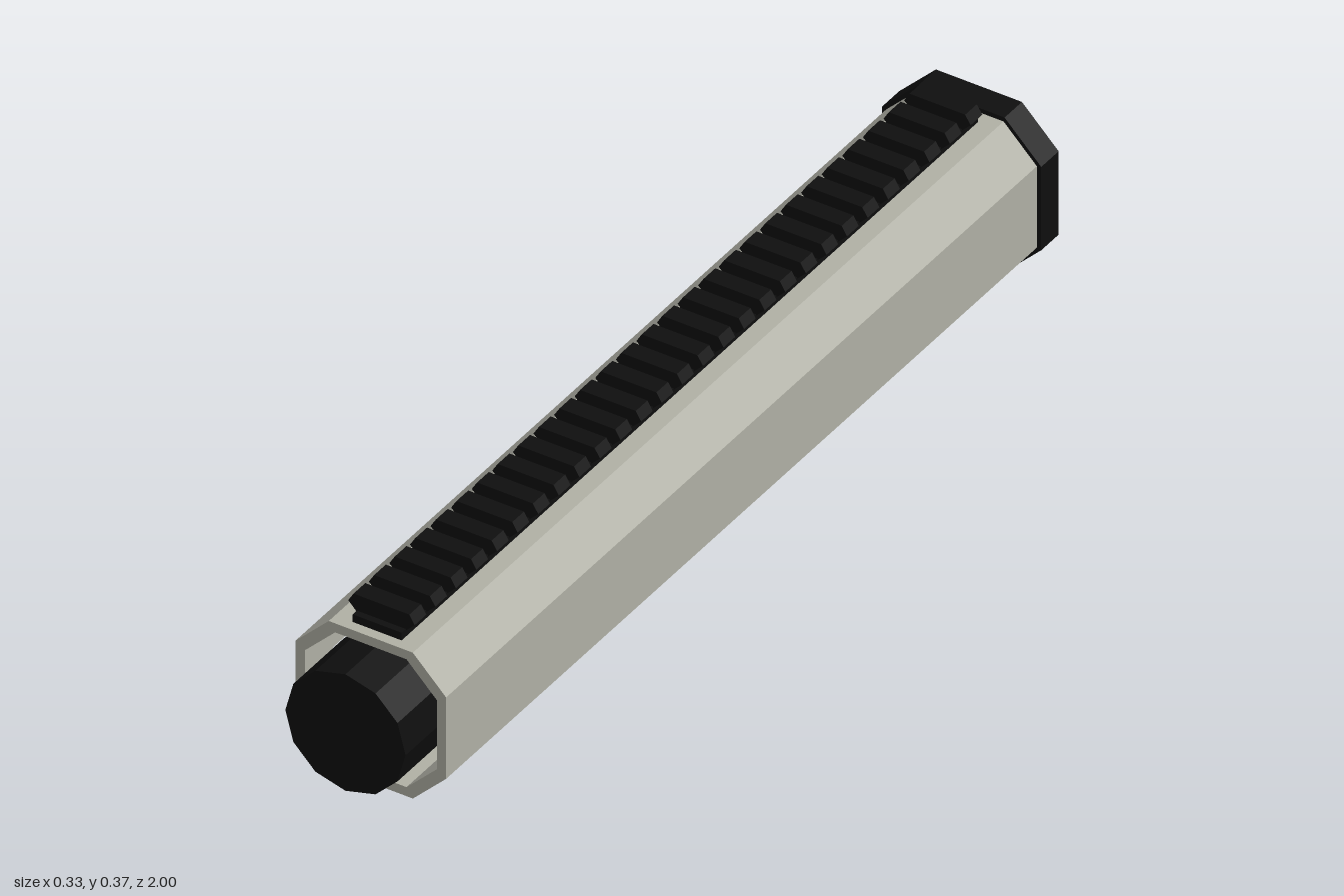
import * as THREE from 'three';

const CY = 0.165;                       // height of the tube axis
const SLOTS = [-2, -1, 0, 1, 2].map(k => -0.0075 + 0.368 * k);

// Flat plate facing +y, its length along z, with optional rows of slots
function plate(width, z0, z1, depth, slotLength, slotWidth = 0.052) {
  const w = width / 2;
  const shape = new THREE.Shape([[-w, -z1], [w, -z1], [w, -z0], [-w, -z0]].map(p => new THREE.Vector2(...p)));
  if (slotLength) {
    const a = slotWidth / 2, l = slotLength / 2;
    for (const z of SLOTS) {
      shape.holes.push(new THREE.Path(
        [[-a, -z - l], [-a, -z + l], [a, -z + l], [a, -z - l]].map(p => new THREE.Vector2(...p))));
    }
  }
  return new THREE.ExtrudeGeometry(shape, { depth, bevelEnabled: false }).rotateX(-Math.PI / 2);
}

// Octagon with half width r and corners at +-c
function octagon(r, c) {
  return [[c, r], [-c, r], [-r, c], [-r, -c], [-c, -r], [c, -r], [r, -c], [r, c]]
    .map(p => new THREE.Vector2(...p));
}

function octagonRing(outer, inner, depth) {
  const shape = new THREE.Shape(octagon(...outer));
  shape.holes.push(new THREE.Path(octagon(...inner)));
  return new THREE.ExtrudeGeometry(shape, { depth, bevelEnabled: false });
}

export function createModel() {
  const model = new THREE.Group();
  const grey = new THREE.MeshStandardMaterial({ color: 0xb0b0a5 });
  grey.name = 'warmGrey';
  const black = new THREE.MeshStandardMaterial({ color: 0x0e0e0e });
  black.name = 'black';

  function add(name, geometry, material, x = 0, y = 0, z = 0, parent = model) {
    const mesh = new THREE.Mesh(geometry, material);
    mesh.name = name;
    mesh.position.set(x, y, z);
    parent.add(mesh);
    return mesh;
  }

  // Octagonal tube: eight mitred wall panels, slotted on top, bottom and one side
  const R = 0.154, C = 0.086, r = 0.135, c = 0.073;
  const tube = new THREE.Group();
  tube.name = 'tube';
  tube.position.y = CY;
  model.add(tube);
  for (let i = 0; i < 8; i++) {
    const bevel = i % 2 === 1;
    const outerW = bevel ? Math.SQRT2 * (R - C) : 2 * C;
    const innerW = bevel ? Math.SQRT2 * (r - c) : 2 * c;
    const outerD = bevel ? (R + C) / Math.SQRT2 : R;
    const innerD = bevel ? (r + c) / Math.SQRT2 : r;
    const slotted = i === 0 || i === 2 || i === 4;
    const g = plate(outerW, -0.998, 0.92, outerD - innerD, slotted ? 0.205 : 0);
    const p = g.attributes.position;
    for (let v = 0; v < p.count; v++) {
      // pull the inner edges in so neighbouring panels meet at a mitre
      if (p.getY(v) < 1e-4 && Math.abs(p.getX(v)) > outerW / 2 - 1e-4) {
        p.setX(v, Math.sign(p.getX(v)) * innerW / 2);
      }
    }
    g.translate(0, innerD, 0).rotateZ(i * Math.PI / 4);
    g.computeVertexNormals();
    add('wallPanel', g, grey, 0, 0, 0, tube);
  }

  // Rear collar and the dark lining just inside the rear opening
  add('rearCollar', octagonRing([0.163, 0.088], [R, C], 0.055), black, 0, CY, -1);
  add('rearLining', octagonRing([0.1352, 0.0732], [0.1335, 0.0722], 0.03), black, 0, CY, -0.997);

  // Front plug
  const plug = new THREE.CylinderGeometry(0.123, 0.123, 0.16, 12).rotateX(Math.PI / 2).toNonIndexed();
  plug.computeVertexNormals();
  add('frontPlug', plug, black, 0, CY, 0.92);

  // Top rail: slotted base strip with a row of dovetail teeth
  const rail = new THREE.Group();
  rail.name = 'topRail';
  model.add(rail);
  add('railBase', plate(0.1, -0.92, 0.9, 0.016, 0.185), black, 0, 0.319, 0, rail);

  const profile = [[-0.05, 0.332], [0.05, 0.332], [0.068, 0.35], [0.057, 0.368], [-0.057, 0.368], [-0.068, 0.35]];
  const tooth = new THREE.ExtrudeGeometry(
    new THREE.Shape(profile.map(p => new THREE.Vector2(...p))),
    { depth: 0.037, bevelEnabled: false }).translate(0, 0, -0.0185);
  for (let i = 0; i < 28; i++) add('railTooth', tooth, black, 0, 0, 0.868 - 0.065 * i, rail);

  return model;
}
